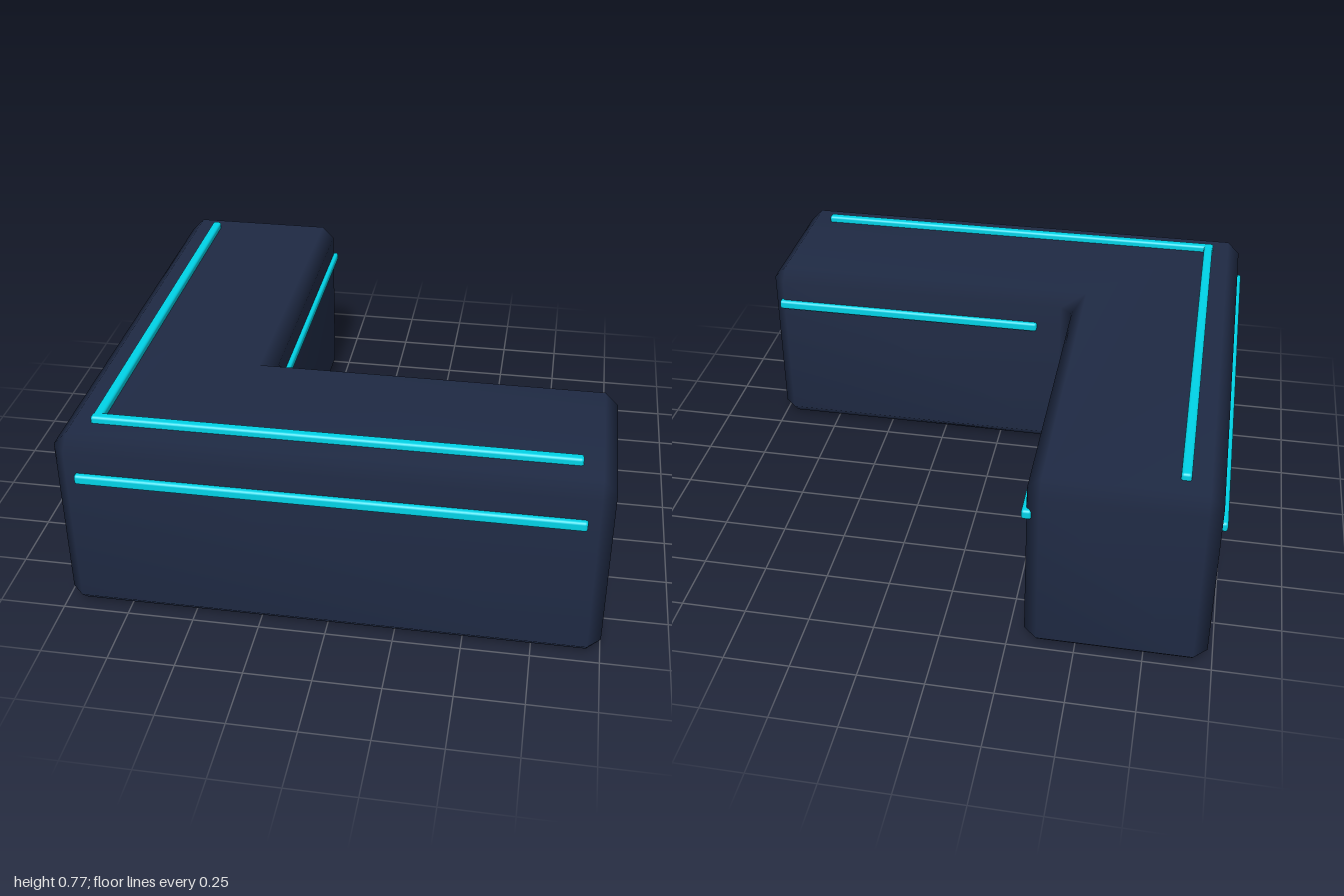
import * as THREE from 'three';
import { RoundedBoxGeometry } from 'three/addons/geometries/RoundedBoxGeometry.js';

const BEVEL = 0.05, HEIGHT = 0.742;
// L-shaped plan as (x, z) corners, counter-clockwise in the x/z plane
const PLAN = [[-0.98, -1], [-0.31, -1], [-0.31, 0.305], [1, 0.305], [1, 0.98], [-0.98, 0.98]]
  .map(([x, z]) => new THREE.Vector2(x, z));

// Chamfered prism: the caps are inset, each upright corner is cut in two
function chamferedPrism(plan, height, b) {
  const n = plan.length, m = 2 * n;
  const inset = [], wall = [];
  plan.forEach((p, i) => {
    const toPrev = plan[(i + n - 1) % n].clone().sub(p).normalize();
    const toNext = plan[(i + 1) % n].clone().sub(p).normalize();
    const side = Math.sign(toNext.cross(toPrev)); // -1 at the inner corner
    inset.push(p.clone().addScaledVector(toPrev, b * side).addScaledVector(toNext, b * side));
    wall.push(p.clone().addScaledVector(toPrev, b), p.clone().addScaledVector(toNext, b));
  });

  const pos = [], index = [];
  const ring = (pts, y) => {
    const start = pos.length / 3;
    pts.forEach((p) => pos.push(p.x, y, p.y));
    return start;
  };
  const bottom = ring(inset, 0), low = ring(wall, b);
  const high = ring(wall, height - b), top = ring(inset, height);

  for (let i = 0; i < m; i++) {
    const j = (i + 1) % m, ci = i >> 1, cj = j >> 1;
    // upright wall
    index.push(low + i, high + i, high + j, low + i, high + j, low + j);
    // slopes to the caps
    index.push(high + i, top + ci, high + j, low + i, low + j, bottom + ci);
    if (ci !== cj) index.push(top + ci, top + cj, high + j, bottom + ci, low + j, bottom + cj);
  }
  for (const [p, q, r] of THREE.ShapeUtils.triangulateShape(inset, [])) {
    index.push(top + p, top + r, top + q, bottom + p, bottom + q, bottom + r);
  }
  const geo = new THREE.BufferGeometry();
  geo.setAttribute('position', new THREE.Float32BufferAttribute(pos, 3));
  geo.setIndex(index);
  geo.computeVertexNormals();
  return geo;
}

export function createModel() {
  const group = new THREE.Group();
  const bodyMat = new THREE.MeshStandardMaterial({ color: 0x1f2a44 });
  const stripMat = new THREE.MeshStandardMaterial({ color: 0x00d4e8 });

  const body = new THREE.Mesh(chamferedPrism(PLAN, HEIGHT, BEVEL), bodyMat);
  body.name = 'cornerBody';
  group.add(body);

  // Light strips, given by their lower and upper corners
  const strips = {
    topFrontStrip: [[-0.865, 0.73, 0.818], [0.88, 0.768, 0.855]],
    topSideStrip: [[-0.862, 0.73, -0.88], [-0.825, 0.768, 0.853]],
    frontStrip: [[-0.895, 0.57, 0.96], [0.91, 0.608, 1]],
    outerSideStrip: [[-1, 0.57, -0.92], [-0.96, 0.608, 0.893]],
    innerSideStrip: [[-0.33, 0.57, -0.973], [-0.293, 0.608, 0.155]],
    innerBackStrip: [[-0.16, 0.57, 0.288], [0.968, 0.608, 0.325]],
  };
  for (const [name, [lo, hi]] of Object.entries(strips)) {
    const box = new THREE.Box3(new THREE.Vector3(...lo), new THREE.Vector3(...hi));
    const size = box.getSize(new THREE.Vector3());
    const strip = new THREE.Mesh(new RoundedBoxGeometry(size.x, size.y, size.z, 2, 0.01), stripMat);
    box.getCenter(strip.position);
    strip.name = name;
    group.add(strip);
  }
  return group;
}
